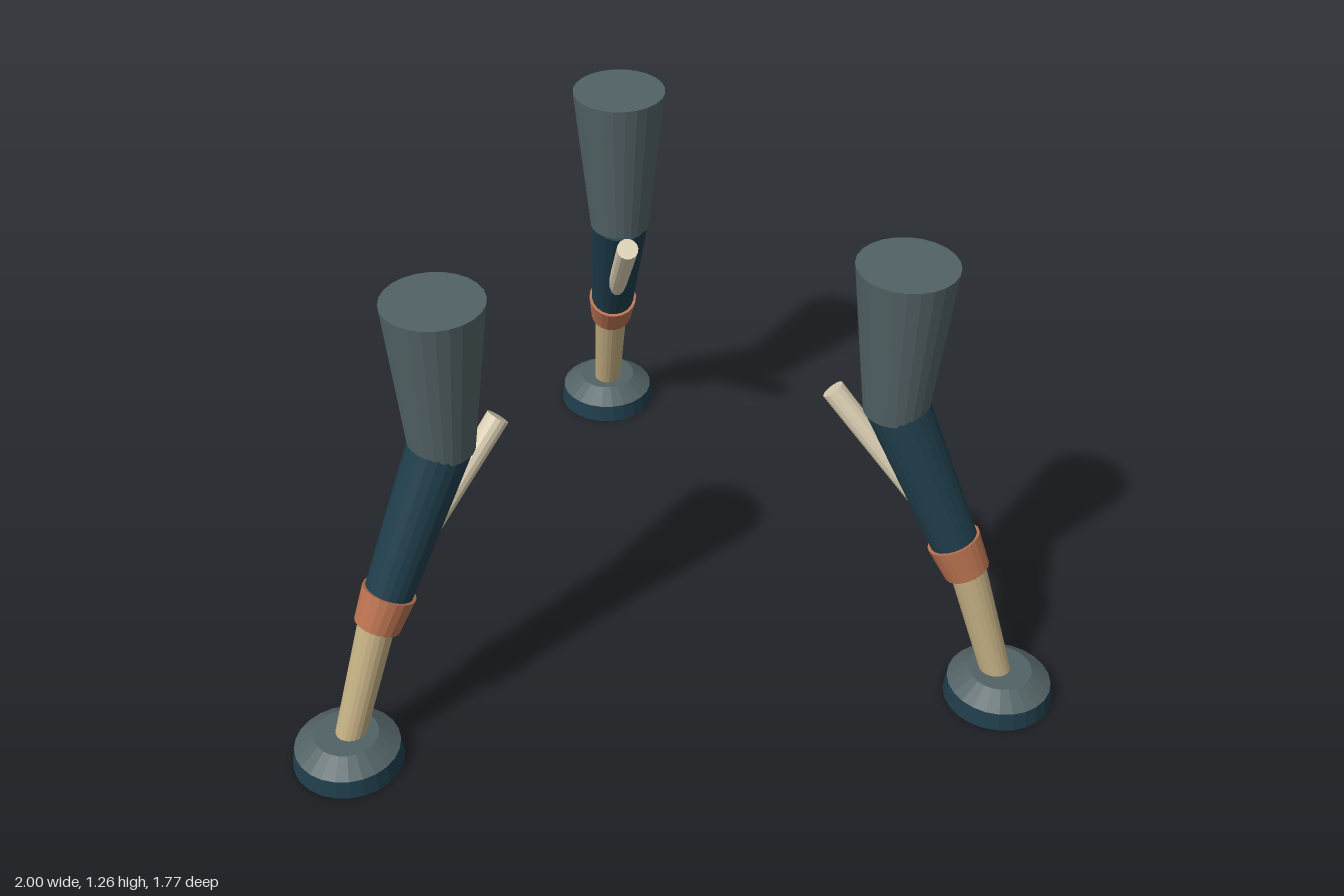
import * as THREE from 'three';

const mat = (name, color, flatShading = true) => {
  const m = new THREE.MeshStandardMaterial({ color, flatShading });
  m.name = name;
  return m;
};

// Tapered limb between two points of the leg plane [radial distance, height]
function limb(name, a, b, ra, rb, material, sides = 20) {
  const from = new THREE.Vector3(a[0], a[1], 0);
  const to = new THREE.Vector3(b[0], b[1], 0);
  const dir = to.clone().sub(from);
  const mesh = new THREE.Mesh(new THREE.CylinderGeometry(rb, ra, dir.length(), sides), material);
  mesh.name = name;
  mesh.position.copy(from).add(to).multiplyScalar(0.5);
  mesh.quaternion.setFromUnitVectors(new THREE.Vector3(0, 1, 0), dir.normalize());
  return mesh;
}

export function createModel() {
  const slate = mat('slate grey', 0x526265);
  const teal = mat('dark teal', 0x1f3d4b);
  const copper = mat('copper', 0xb97250);
  const tan = mat('tan', 0xc2ae82);
  const cream = mat('cream', 0xd9cdb2);

  const model = new THREE.Group();
  model.name = 'tripodLegs';

  // Three identical legs around a common axis: back, front left, front right
  const names = ['backLeg', 'leftLeg', 'rightLeg'];
  const angles = [90, -30, 210];
  names.forEach((name, i) => {
    const leg = new THREE.Group();
    leg.name = name;
    const hip = 0.647, foot = 0.987;

    // Hip cone and bent thigh
    leg.add(limb('hip', [hip, 0.84], [hip, 1.26], 0.082, 0.126, slate, 24));
    leg.add(limb('thigh', [hip, 0.86], [0.828, 0.475], 0.081, 0.062, teal));

    // Ankle cuff and shin
    leg.add(limb('cuff', [0.826, 0.478], [0.869, 0.39], 0.07, 0.06, copper));
    leg.add(limb('shin', [0.862, 0.42], [0.981, 0.06], 0.048, 0.039, tan));

    // Spur pointing inwards behind the thigh
    leg.add(limb('spur', [0.483, 0.856], [0.775, 0.528], 0.03, 0.026, cream, 14));

    // Foot pad with sloped cap
    leg.add(limb('footPad', [foot, 0], [foot, 0.05], 0.143, 0.136, teal, 24));
    leg.add(limb('footCap', [foot, 0.05], [foot, 0.088], 0.136, 0.083, slate, 24));

    leg.rotation.y = THREE.MathUtils.degToRad(angles[i]);
    leg.position.z = 0.247;
    model.add(leg);
  });
  return model;
}
